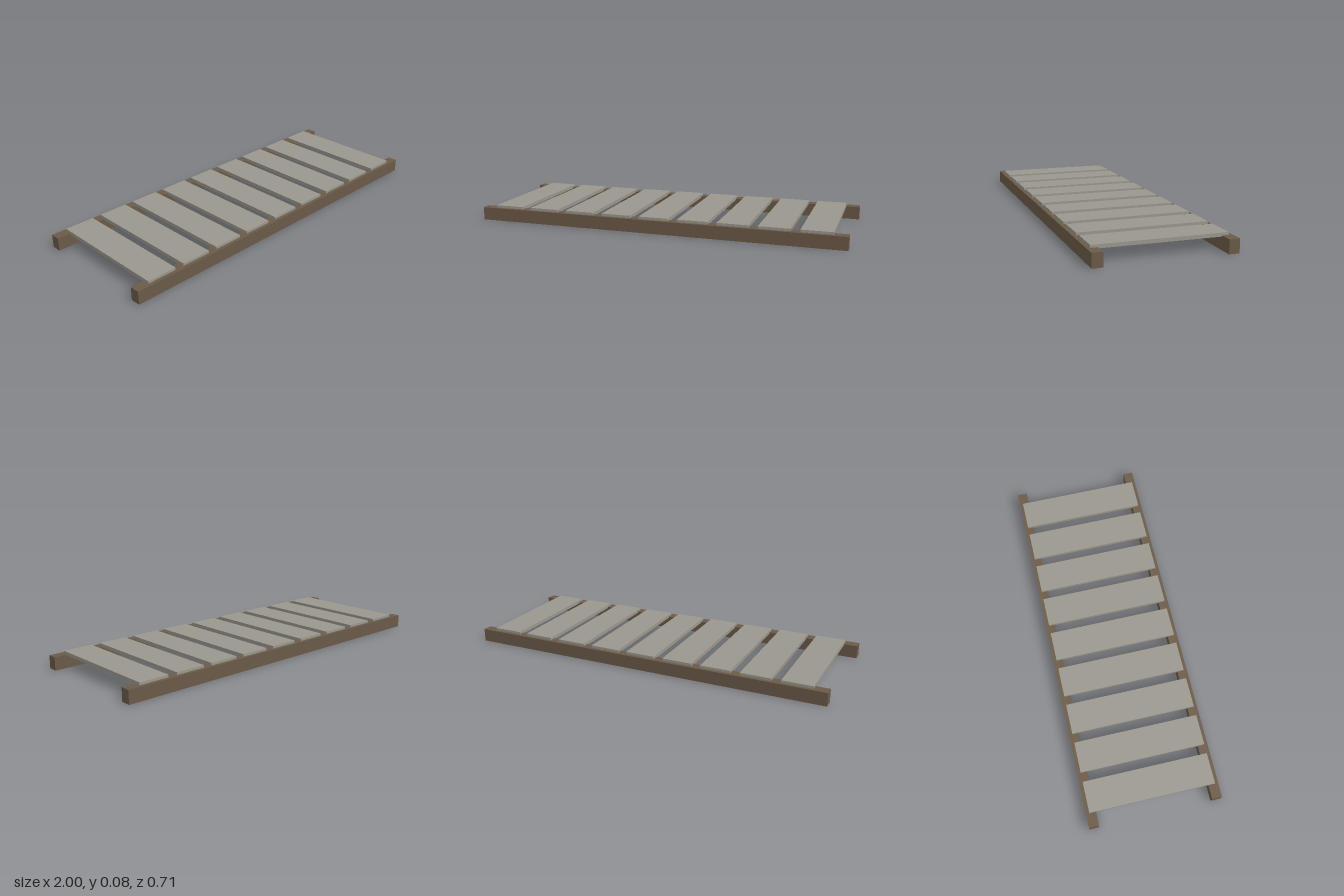
import * as THREE from 'three';

export function createModel() {
  const model = new THREE.Group();
  const wood = new THREE.MeshStandardMaterial({ color: 0x6b5a48 });
  const weathered = new THREE.MeshStandardMaterial({ color: 0x9a978e });

  function box(name, size, position, material) {
    const mesh = new THREE.Mesh(new THREE.BoxGeometry(...size), material);
    mesh.name = name;
    mesh.position.set(...position);
    model.add(mesh);
  }

  // Two long side beams
  for (const side of [1, -1]) {
    box(side > 0 ? 'frontBeam' : 'backBeam', [2, 0.07, 0.053], [0, 0.035, side * 0.3265], wood);
  }

  // Evenly spaced planks, slightly sunk into the beams
  const count = 9, step = 0.2115;
  for (let i = 0; i < count; i++) {
    const x = (i - (count - 1) / 2) * step;
    box(`plank${i + 1}`, [0.162, 0.019, 0.67], [x, 0.0735, 0], weathered);
  }
  return model;
}
